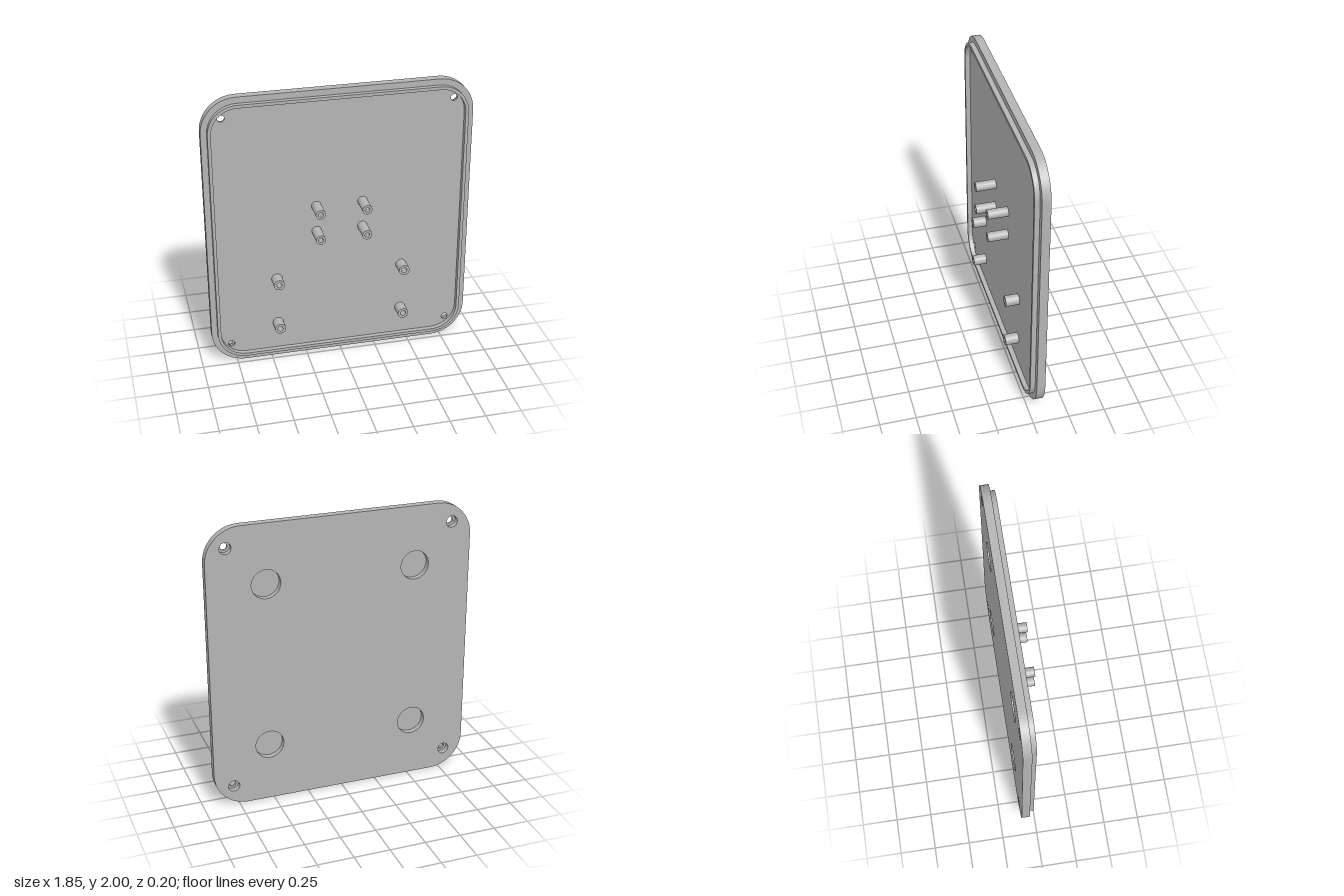
import * as THREE from 'three';
import { toCreasedNormals } from 'three/addons/utils/BufferGeometryUtils.js';

const BACK = -0.1, POCKET = -0.06, FLOOR = -0.042, LIP = -0.008;

// rounded rectangle centred on (0, 1)
function roundedRect(hw, hh, r) {
  const s = new THREE.Shape();
  s.absarc(hw - r, 1 + hh - r, r, 0, Math.PI / 2);
  s.absarc(-hw + r, 1 + hh - r, r, Math.PI / 2, Math.PI);
  s.absarc(-hw + r, 1 - hh + r, r, Math.PI, Math.PI * 1.5);
  s.absarc(hw - r, 1 - hh + r, r, Math.PI * 1.5, Math.PI * 2);
  s.closePath();
  return s;
}

// four round holes mirrored about the plate centre
function addHoles(shape, x, dy, r) {
  for (const sx of [-1, 1]) for (const sy of [-1, 1]) {
    const hole = new THREE.Path();
    hole.absarc(sx * x, 1 + sy * dy, r, 0, Math.PI * 2, true);
    shape.holes.push(hole);
  }
}

function slab(name, shape, z0, z1, material) {
  const g = new THREE.ExtrudeGeometry(shape, { depth: z1 - z0, bevelEnabled: false, curveSegments: 20 });
  g.translate(0, 0, z0);
  const mesh = new THREE.Mesh(toCreasedNormals(g, 0.6), material);
  mesh.name = name;
  return mesh;
}

export function createModel() {
  const group = new THREE.Group();
  group.name = 'coverPlate';
  const grey = new THREE.MeshStandardMaterial({ color: 0xb4b4b4 });
  grey.name = 'grey';

  // back layer with screw counterbores and round blind pockets
  const back = roundedRect(0.923, 1, 0.24);
  addHoles(back, 0.785, 0.86, 0.04);
  addHoles(back, 0.522, 0.585, 0.1);
  group.add(slab('backLayer', back, BACK, POCKET, grey));

  // floor layer with screw through holes
  const floor = roundedRect(0.923, 1, 0.24);
  addHoles(floor, 0.785, 0.86, 0.0235);
  group.add(slab('floorLayer', floor, POCKET, FLOOR, grey));

  // thin locating lip
  const lip = roundedRect(0.882, 0.957, 0.2);
  lip.holes.push(new THREE.Path(roundedRect(0.86, 0.935, 0.178).getPoints(20)));
  group.add(slab('locatingLip', lip, FLOOR, LIP, grey));

  // hollow standoffs
  function standoff(x, y, r, bore, top) {
    const s = new THREE.Shape();
    s.absarc(x, y, r, 0, Math.PI * 2);
    const hole = new THREE.Path();
    hole.absarc(x, y, bore, 0, Math.PI * 2, true);
    s.holes.push(hole);
    group.add(slab('standoff', s, FLOOR, top, grey));
  }
  for (const x of [-0.164, 0.159]) for (const y of [0.968, 1.16]) standoff(x, y, 0.034, 0.017, 0.1);
  for (const x of [-0.449, 0.443]) for (const y of [0.27, 0.625]) standoff(x, y, 0.038, 0.019, 0.052);

  return group;
}
